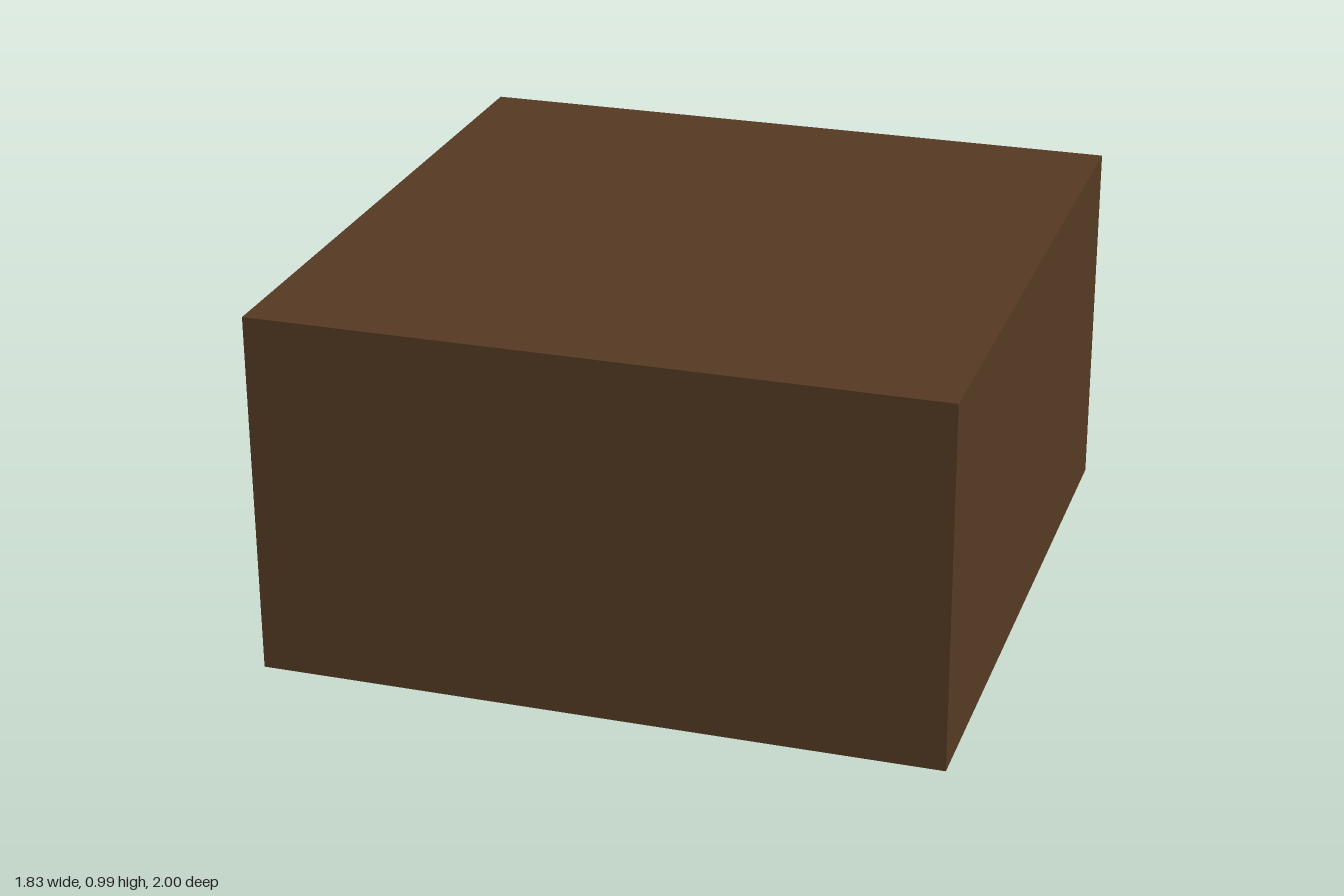
import * as THREE from 'three';

const W = 1.83, H = 0.99, FRONT = 1, BACK = -0.835; // cabinet extents
const MARGIN = 0.15, GAP = 0.008, WALL = 0.15;

export function createModel() {
  const group = new THREE.Group();
  const wood = new THREE.MeshStandardMaterial({ color: 0x553a23 });
  wood.name = 'dark brown wood';

  const add = (name, geometry, x, y, z) => {
    const mesh = new THREE.Mesh(geometry, wood);
    mesh.name = name;
    mesh.position.set(x, y, z);
    group.add(mesh);
  };
  // Box centred on x, given by its y and z ranges
  const addBox = (name, width, y0, y1, z0, z1) =>
    add(name, new THREE.BoxGeometry(width, y1 - y0, z1 - z0), 0, (y0 + y1) / 2, (z0 + z1) / 2);

  const rectangle = (PathType, halfWidth, y0, y1) => new PathType([
    new THREE.Vector2(-halfWidth, y0), new THREE.Vector2(halfWidth, y0),
    new THREE.Vector2(halfWidth, y1), new THREE.Vector2(-halfWidth, y1),
  ]);

  // Cabinet: a sleeve with the drawer opening, closed by a solid wall
  const sleeve = rectangle(THREE.Shape, W / 2, 0, H);
  sleeve.holes.push(rectangle(THREE.Path, W / 2 - MARGIN, MARGIN, H - MARGIN));
  const depth = FRONT - BACK;
  add('cabinetShell', new THREE.ExtrudeGeometry(sleeve, { depth, bevelEnabled: false }), 0, 0, BACK);
  addBox('cabinetWall', W - 2 * MARGIN, MARGIN, H - MARGIN, FRONT - WALL, FRONT);

  // Drawer, flush with the cabinet and set in a narrow gap
  addBox('drawer', W - 2 * (MARGIN + GAP), MARGIN + GAP, H - MARGIN - GAP, BACK, FRONT - WALL - GAP);

  // Square knob on a short stem
  addBox('knobStem', 0.09, 0.455, 0.535, -0.89, BACK);
  addBox('knob', 0.2, 0.403, 0.587, -1, -0.89);

  return group;
}
